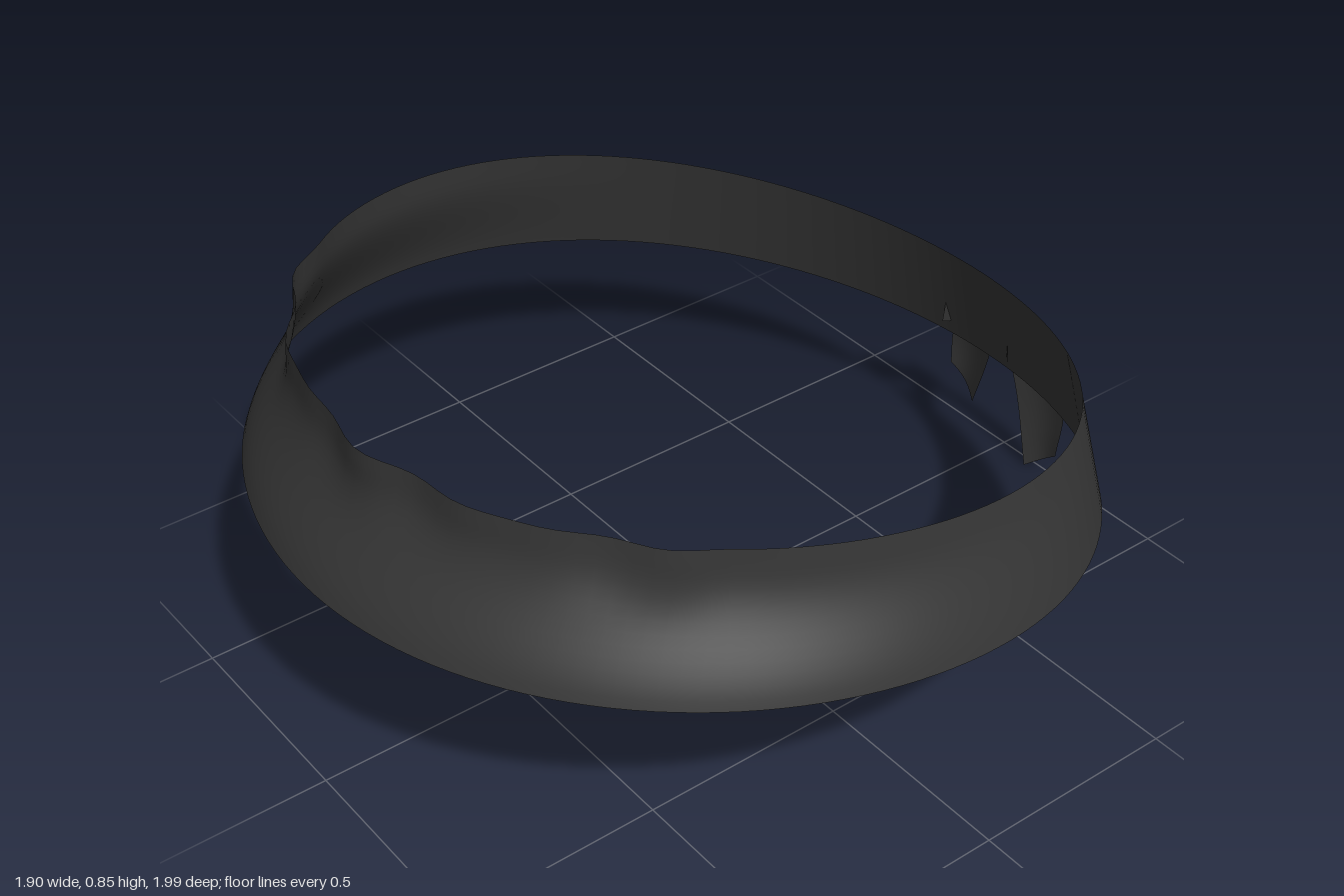
import * as THREE from 'three';

// Smooth sheet from rows of points; closed sheets wrap the last column onto the first.
function sheet(rows, closed = false) {
  const cols = rows[0].length;
  const index = [];
  const span = closed ? cols : cols - 1;
  for (let r = 0; r < rows.length - 1; r++) {
    for (let c = 0; c < span; c++) {
      const n = (c + 1) % cols;
      const a = r * cols + c, b = r * cols + n;
      const d = (r + 1) * cols + c, e = (r + 1) * cols + n;
      index.push(a, b, e, a, e, d);
    }
  }
  const g = new THREE.BufferGeometry();
  g.setAttribute('position', new THREE.Float32BufferAttribute(rows.flat(2), 3));
  g.setIndex(index);
  g.computeVertexNormals();
  return g;
}

const lerp = THREE.MathUtils.lerp;
const smooth = THREE.MathUtils.smoothstep;

// Tilted loop of cloth: flared at the front and sides, flatter at the back, wrinkled at the front rim.
function bandGeometry() {
  const rows = [];
  for (let i = 0; i <= 14; i++) {
    const t = i / 14;
    const row = [];
    for (let j = 0; j < 144; j++) {
      const a = (j / 144) * Math.PI * 2;
      const s = Math.sin(a), c = Math.cos(a);
      const front = smooth(c, -0.6, 0.3);
      const pinch = lerp(t, lerp(t, smooth(t, -0.1, 0.82), 0.75), front);
      const wrinkle = smooth(c, 0.45, 0.75) * smooth(t, 0.45, 0.95)
        * (0.009 * Math.sin(a * 15 + 1) + 0.005 * Math.sin(a * 23));
      const x = s * (lerp(0.95, 0.857, pinch) + wrinkle);
      const z = lerp(0.055, 0.015, pinch) + c * (lerp(0.945, 0.845, pinch) + wrinkle);
      const zb = 0.055 + c * 0.945, zt = 0.015 + c * 0.845;
      const yBottom = 0.485 + 0.12 * zb - 0.057 * zb * zb;
      const yTop = 0.78 + 0.155 * zt - 0.075 * zt * zt;
      row.push([x, lerp(yBottom, yTop, t), z]);
    }
    rows.push(row);
  }
  return sheet(rows, true);
}

// Hanging end of the knot, lofted between an inner and an outer edge curve.
function tailGeometry(side, inner, outer) {
  const curve = (pts) => new THREE.CatmullRomCurve3(pts.map((p) => new THREE.Vector3(...p)));
  const ci = curve(inner), co = curve(outer);
  const rows = [];
  for (let i = 0; i <= 12; i++) {
    const p = ci.getPoint(i / 12), q = co.getPoint(i / 12);
    const row = [];
    for (let k = 0; k <= 6; k++) {
      const u = k / 6;
      const v = p.clone().lerp(q, u);
      row.push([side * v.x, v.y, v.z - 0.012 * Math.sin(u * Math.PI)]);
    }
    rows.push(row);
  }
  return sheet(rows);
}

// Short flared end running from the knot to the band.
function tieGeometry(side) {
  const rows = [];
  for (let i = 0; i <= 6; i++) {
    const u = i / 6;
    const row = [];
    for (let k = 0; k <= 4; k++) {
      const v = k / 4;
      row.push([
        side * lerp(0.01, lerp(0.115, 0.095, v), u),
        lerp(lerp(0.4, 0.445, v), lerp(0.37, 0.54, v), u),
        lerp(-0.945, -0.862, u) - 0.012 * Math.sin(u * Math.PI) * v,
      ]);
    }
    rows.push(row);
  }
  return sheet(rows);
}

export function createModel() {
  const cloth = new THREE.MeshStandardMaterial({ color: 0x363636, side: THREE.DoubleSide });
  cloth.name = 'charcoal cloth';
  const group = new THREE.Group();
  group.name = 'headband';
  const add = (name, geometry, parent = group) => {
    const mesh = new THREE.Mesh(geometry, cloth);
    mesh.name = name;
    parent.add(mesh);
    return mesh;
  };

  add('band', bandGeometry());

  // Knot with two tie ends and two tails at the back
  const bow = new THREE.Group();
  bow.name = 'bow';
  group.add(bow);
  const knot = add('knot', new THREE.SphereGeometry(1, 20, 14), bow);
  knot.scale.set(0.058, 0.046, 0.024);
  knot.position.set(0, 0.412, -0.95);
  knot.rotation.z = 0.2;

  add('leftTie', tieGeometry(1), bow);
  add('rightTie', tieGeometry(-1), bow);

  add('leftTail', tailGeometry(1,
    [[0, 0.4, -0.95], [0.018, 0.33, -0.958], [0.055, 0.19, -0.972], [0.1, 0.005, -0.972]],
    [[0.03, 0.42, -0.95], [0.15, 0.34, -0.98], [0.198, 0.22, -0.988], [0.192, 0.08, -0.982]]), bow);
  add('rightTail', tailGeometry(-1,
    [[0, 0.4, -0.95], [0.025, 0.335, -0.958], [0.06, 0.22, -0.972], [0.1, 0.088, -0.974]],
    [[0.03, 0.42, -0.95], [0.16, 0.35, -0.98], [0.2, 0.25, -0.988], [0.196, 0.155, -0.984]]), bow);

  return group;
}
